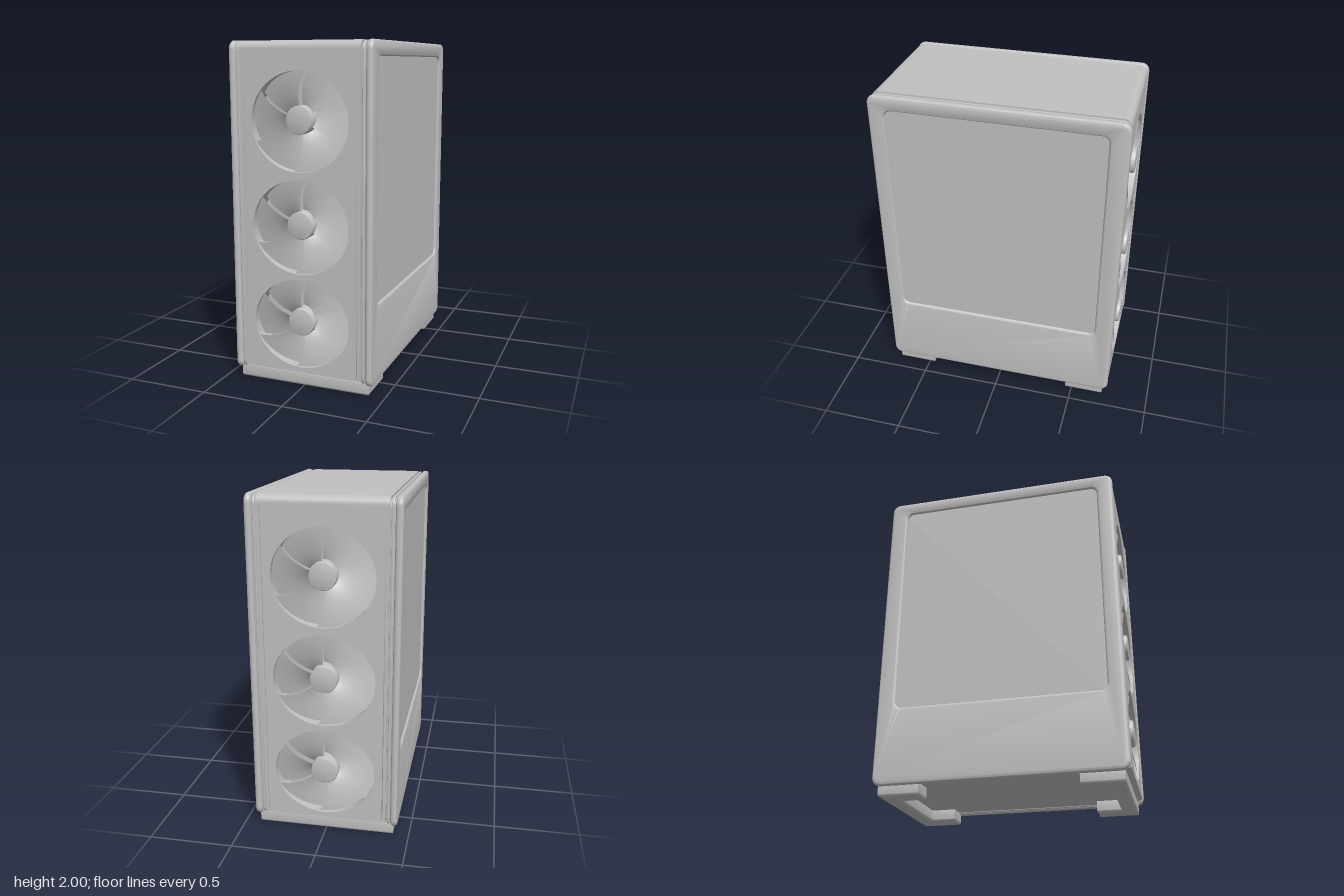
import * as THREE from 'three';
import { toCreasedNormals } from 'three/addons/utils/BufferGeometryUtils.js';

const casing = new THREE.MeshStandardMaterial({ color: 0xc0c0c0, side: THREE.DoubleSide });
casing.name = 'casing grey';

function mesh(name, geometry, parent) {
  const m = new THREE.Mesh(geometry, casing);
  m.name = name;
  parent.add(m);
  return m;
}

// Rounded rectangle between two corners
function roundRect(x0, y0, x1, y1, r, Type = THREE.Shape) {
  const s = new Type();
  s.moveTo(x0 + r, y0);
  s.lineTo(x1 - r, y0);
  s.absarc(x1 - r, y0 + r, r, -Math.PI / 2, 0);
  s.lineTo(x1, y1 - r);
  s.absarc(x1 - r, y1 - r, r, 0, Math.PI / 2);
  s.lineTo(x0 + r, y1);
  s.absarc(x0 + r, y1 - r, r, Math.PI / 2, Math.PI);
  s.lineTo(x0, y0 + r);
  s.absarc(x0 + r, y0 + r, r, Math.PI, Math.PI * 1.5);
  return s;
}

// Extrusion from 0 to depth, with an optional rounded edge inside the outline
function extrude(shape, depth, bevel = 0) {
  const g = new THREE.ExtrudeGeometry(shape, {
    depth: depth - 2 * bevel, curveSegments: 12, bevelEnabled: bevel > 0,
    bevelThickness: bevel, bevelSize: bevel, bevelOffset: -bevel, bevelSegments: 4,
  });
  g.translate(0, 0, bevel);
  return toCreasedNormals(g, 0.6);
}

const FANS = [ // centre height, vertical radius
  { y: 1.553, ry: 0.282 },
  { y: 0.957, ry: 0.273 },
  { y: 0.388, ry: 0.263 },
];
const FAN_RX = 0.295;
const FACE_Z = 0.735, POCKET_Z = 0.61;

// One swept blade: steps down anticlockwise and towards the hub
function bladeGeometry() {
  const NR = 12, NA = 10, pos = [], idx = [];
  for (let i = 0; i <= NR; i++) {
    for (let j = 0; j <= NA; j++) {
      const t = i / NR, s = j / NA;
      const r = 0.06 + 0.24 * t;
      const a = THREE.MathUtils.degToRad(22 + 14 * (1 - t * t) + 62 * s);
      pos.push(r * Math.cos(a), r * Math.sin(a), -0.012 - 0.055 * s - 0.02 * (1 - t));
      if (i < NR && j < NA) {
        const p = i * (NA + 1) + j, q = p + NA + 1;
        idx.push(p, q, q + 1, p, q + 1, p + 1);
      }
    }
  }
  const g = new THREE.BufferGeometry();
  g.setAttribute('position', new THREE.Float32BufferAttribute(pos, 3));
  g.setIndex(idx);
  g.computeVertexNormals();
  return g;
}

// Fan panel with three openings, edge strips and fans, facing +z
function fanFace(name, hubOut) {
  const face = new THREE.Group();
  face.name = name;
  const y0 = 0.1, y1 = 1.95, depth = FACE_Z - POCKET_Z;
  const shape = roundRect(-0.341, y0, 0.341, y1, 0.002);
  for (const f of FANS) {
    const hole = new THREE.Path();
    hole.absellipse(0, f.y, FAN_RX, f.ry, 0, Math.PI * 2, true);
    shape.holes.push(hole);
  }
  const g = new THREE.ExtrudeGeometry(shape, { depth, bevelEnabled: false, curveSegments: 64 });
  mesh('fanPanel', toCreasedNormals(g, 0.6), face).position.z = POCKET_Z;
  for (const s of [-1, 1]) {
    mesh('edgeStrip', new THREE.BoxGeometry(0.017, y1 - y0, depth), face)
      .position.set(s * 0.3535, (y0 + y1) / 2, (FACE_Z + POCKET_Z) / 2);
  }
  const blade = bladeGeometry();
  const hubProfile = [[0, -0.1], [0.08, -0.1], [0.08, hubOut - 0.008], [0.077, hubOut - 0.002],
    [0.071, hubOut], [0, hubOut]].map(([x, y]) => new THREE.Vector2(x, y));
  const hub = toCreasedNormals(new THREE.LatheGeometry(hubProfile, 40).rotateX(Math.PI / 2), 0.6);
  for (const f of FANS) {
    const fan = new THREE.Group();
    fan.name = 'fan';
    fan.position.set(0, f.y, FACE_Z);
    const rotor = new THREE.Group();
    rotor.name = 'rotor';
    rotor.scale.y = f.ry / FAN_RX;
    for (let k = 0; k < 6; k++) mesh('blade', blade, rotor).rotation.z = k * Math.PI / 3;
    fan.add(rotor);
    mesh('hub', hub, fan).position.y = 0.011;
    face.add(fan);
  }
  return face;
}

// Side cover with a recessed window and an inner trim strip
function sidePanel(s) {
  const side = new THREE.Group();
  side.name = s > 0 ? 'leftPanel' : 'rightPanel';
  const turn = s * Math.PI / 2, c = -0.005 * s;
  const shape = roundRect(-0.74, 0.06, 0.74, 2, 0.05);
  shape.holes.push(roundRect(c - 0.633, 0.527, c + 0.633, 1.912, 0.04, THREE.Path));
  const cover = mesh('cover', extrude(shape, 0.042, 0.018), side);
  cover.rotation.y = turn;
  cover.position.x = s * 0.39;
  const pane = mesh('window', extrude(roundRect(c - 0.65, 0.51, c + 0.65, 1.93, 0.04), 0.012), side);
  pane.rotation.y = turn;
  pane.position.x = s * 0.406;
  const trim = mesh('trimStrip', extrude(roundRect(-0.733, 0.068, 0.733, 1.995, 0.05), 0.014, 0.003), side);
  trim.rotation.y = turn;
  trim.position.x = s * 0.37;
  // Recessed spacer closing the seams
  const spacer = mesh('spacer', extrude(roundRect(-0.722, 0.085, 0.722, 1.984, 0.045), 0.05), side);
  spacer.rotation.y = turn;
  spacer.position.x = s * 0.35;
  return side;
}

// Foot rail across the width with a pad at each end
function footRail(name) {
  const s = new THREE.Shape();
  const pts = [[-0.408, 0.705], [-0.408, 0.46], [-0.27, 0.46], [-0.27, 0.61],
    [0.27, 0.61], [0.27, 0.46], [0.408, 0.46], [0.408, 0.705]];
  pts.forEach(([x, z], i) => (i ? s.lineTo(x, z) : s.moveTo(x, z)));
  s.closePath();
  const rail = new THREE.Group();
  rail.name = name;
  mesh('rail', extrude(s, 0.085, 0.016).rotateX(-Math.PI / 2), rail);
  return rail;
}

export function createModel() {
  const model = new THREE.Group();
  model.name = 'computerCase';

  // Main shell: rounded side profile, notched front and back for the fan panels
  const R = 0.045, top = 1.998, bottom = 0.072, F = FACE_Z, P = POCKET_Z;
  const s = new THREE.Shape();
  s.moveTo(-F + R, bottom);
  s.lineTo(F - R, bottom);
  s.lineTo(F, bottom + 0.02);
  s.lineTo(F, 0.1);
  s.lineTo(P, 0.1);
  s.lineTo(P, 1.95);
  s.lineTo(F, 1.95);
  s.absarc(F - R, top - R, R, 0, Math.PI / 2);
  s.lineTo(-F + R, top);
  s.absarc(-F + R, top - R, R, Math.PI / 2, Math.PI);
  s.lineTo(-F, 1.95);
  s.lineTo(-P, 1.95);
  s.lineTo(-P, 0.1);
  s.lineTo(-F, 0.1);
  s.lineTo(-F, bottom + 0.02);
  s.closePath();
  const shell = mesh('shell', extrude(s, 0.724), model);
  shell.rotation.y = Math.PI / 2;
  shell.position.x = -0.362;

  // Fan faces, front and back
  model.add(fanFace('frontFans', 0.004));
  const back = fanFace('backFans', 0.01);
  back.rotation.y = Math.PI;
  model.add(back);

  // Side covers
  model.add(sidePanel(1), sidePanel(-1));

  // Feet
  model.add(footRail('backFoot'));
  const front = footRail('frontFoot');
  front.rotation.y = Math.PI;
  model.add(front);
  return model;
}
